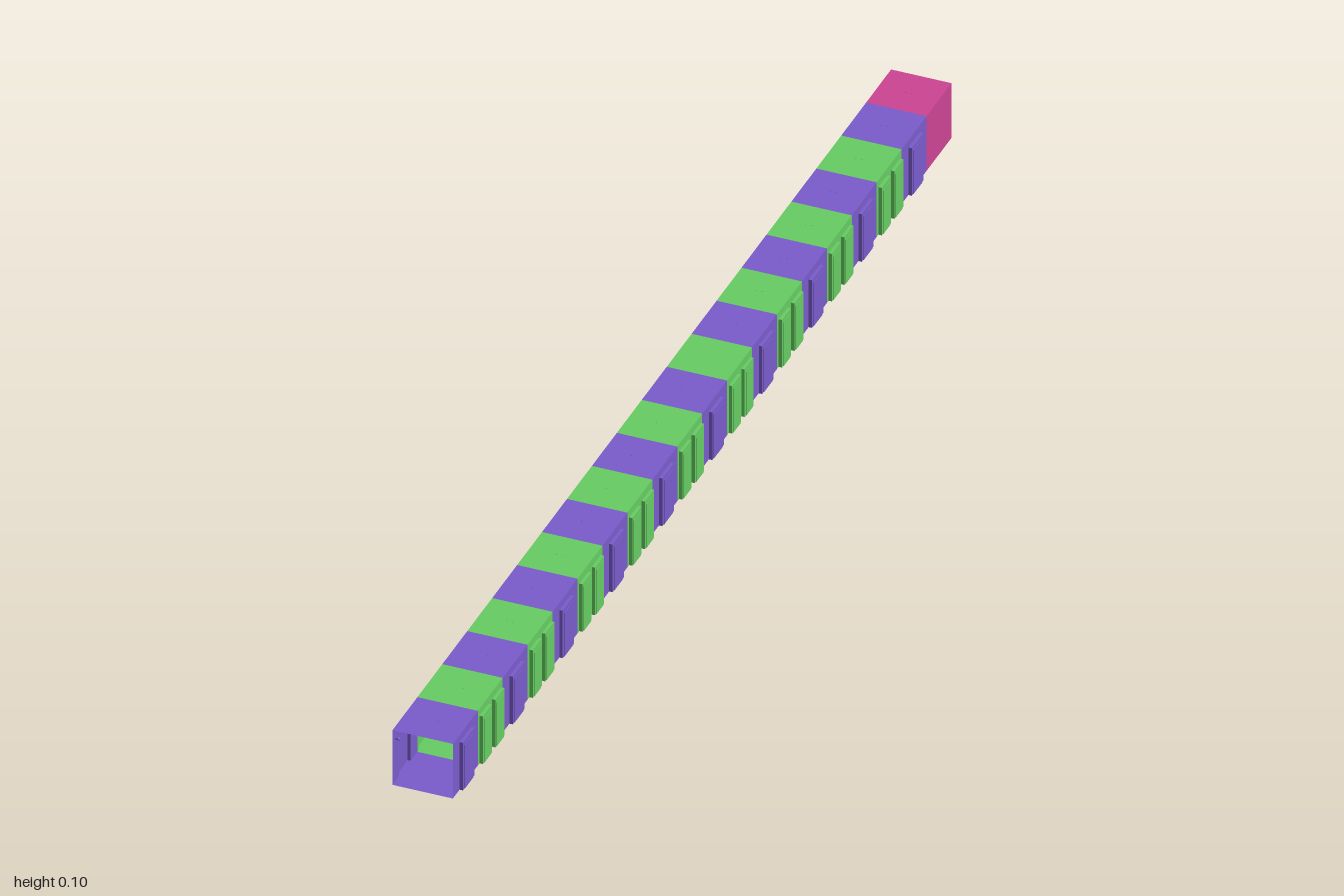
import * as THREE from 'three';

const H = 0.1, HALF = 0.05;          // corridor height and half width
const DEPTH = 0.0064, DOOR_H = 0.087; // door recess
const COUNT = 20, LEN = (2 - DEPTH) / COUNT;

const material = (color) => new THREE.MeshStandardMaterial({ color, side: THREE.DoubleSide });
const PURPLE = material(0x7a5ccc), GREEN = material(0x66cc62), PINK = material(0xcc4492);

function add(parent, name, geometry, mat, x = 0, y = 0, z = 0) {
  const mesh = new THREE.Mesh(geometry, mat);
  mesh.name = name;
  mesh.position.set(x, y, z);
  parent.add(mesh);
  return mesh;
}

// Box shell open towards -z
function recessGeometry(w, h, d) {
  const g = new THREE.BoxGeometry(w, h, d);
  g.setIndex(Array.from(g.index.array).slice(0, 30));
  g.clearGroups();
  return g;
}

// Thin wall whose doorways are recessed towards +z
function doorWall(width, centres, doorW, doorH, mat) {
  const wall = new THREE.Group();
  const outline = new THREE.Shape();
  outline.moveTo(-width / 2, 0);
  for (const c of centres) {
    outline.lineTo(c - doorW / 2, 0);
    outline.lineTo(c - doorW / 2, doorH);
    outline.lineTo(c + doorW / 2, doorH);
    outline.lineTo(c + doorW / 2, 0);
  }
  outline.lineTo(width / 2, 0);
  outline.lineTo(width / 2, H);
  outline.lineTo(-width / 2, H);
  add(wall, 'wallPanel', new THREE.ShapeGeometry(outline), mat);
  for (const c of centres) {
    const d = DEPTH - 0.0008;
    add(wall, 'doorRecess', recessGeometry(doorW, doorH, d), mat, c, doorH / 2, d / 2);
    add(wall, 'doorLeaf', new THREE.BoxGeometry(doorW * 0.76, doorH * 0.92, 0.0016), mat, c, doorH * 0.46, d);
    add(wall, 'doorHandle', new THREE.BoxGeometry(0.002, 0.006, 0.0016), mat, c + doorW * 0.28, 0.04, d - 0.001);
  }
  return wall;
}

// Small wall lamp: bracket and round shade, standing off towards -z
function wallLamp(mat) {
  const lamp = new THREE.Group();
  lamp.name = 'wallLamp';
  add(lamp, 'lampBracket', new THREE.BoxGeometry(0.003, 0.003, 0.006), mat, 0, 0.077, -0.0025);
  add(lamp, 'lampShade', new THREE.SphereGeometry(0.0028, 10, 8), mat, 0, 0.077, -0.004);
  return lamp;
}

function floorAndCeiling(section, mat) {
  const slab = new THREE.PlaneGeometry(HALF * 2, LEN).rotateX(-Math.PI / 2);
  add(section, 'floor', slab, mat);
  add(section, 'ceiling', slab, mat, 0, H, 0);
}

// Ceiling fitting: two studs holding a small box
function ceilingLight(section, mat) {
  add(section, 'ceilingLight', new THREE.BoxGeometry(0.016, 0.008, 0.012), mat, 0, H - 0.005, 0);
  for (const x of [-0.005, 0.005])
    add(section, 'ceilingStud', new THREE.CylinderGeometry(0.001, 0.001, 0.004, 8), mat, x, H - 0.0014, 0);
}

// Corridor section with doors on both sides
function corridorSection(mat, centres, doorW, lampOffset) {
  const section = new THREE.Group();
  floorAndCeiling(section, mat);
  ceilingLight(section, mat);
  for (const side of [1, -1]) {
    const wall = doorWall(LEN, centres, doorW, DOOR_H, mat);
    wall.name = side > 0 ? 'leftWall' : 'rightWall';
    const lamp = wallLamp(mat);
    lamp.position.x = lampOffset;
    wall.add(lamp);
    wall.rotation.y = side * Math.PI / 2;
    wall.position.x = side * HALF;
    section.add(wall);
  }
  // Control panel on the left wall
  add(section, 'wallPanelBox', new THREE.BoxGeometry(0.004, 0.026, 0.01), mat, HALF - 0.002, 0.039, -lampOffset);
  return section;
}

// Closed end section with one door in the end wall
function endSection(mat) {
  const section = new THREE.Group();
  floorAndCeiling(section, mat);
  ceilingLight(section, mat);
  const side = new THREE.PlaneGeometry(LEN, H).rotateY(Math.PI / 2);
  for (const s of [1, -1]) add(section, 'sideWall', side, mat, s * HALF, H / 2, 0);
  const end = doorWall(HALF * 2, [0.001], 0.04, 0.086, mat);
  end.name = 'endWall';
  end.rotation.y = Math.PI;
  end.position.z = -LEN / 2;
  section.add(end);
  add(section, 'wallBox', new THREE.BoxGeometry(0.015, 0.01, 0.002), mat, 0.0305, 0.022, -LEN / 2 + 0.001);
  return section;
}

export function createModel() {
  const model = new THREE.Group();
  model.name = 'corridor';
  for (let i = 0; i < COUNT; i++) {
    let section;
    if (i === COUNT - 1) section = endSection(PINK);
    else if (i % 2) section = corridorSection(GREEN, [-0.025, 0.025], 0.036, 0);
    else section = corridorSection(PURPLE, [0], 0.046, 0.036);
    section.name = i === COUNT - 1 ? 'endSection' : i % 2 ? 'doubleDoorSection' : 'singleDoorSection';
    section.position.z = 1 - LEN * (i + 0.5);
    model.add(section);
  }
  return model;
}
